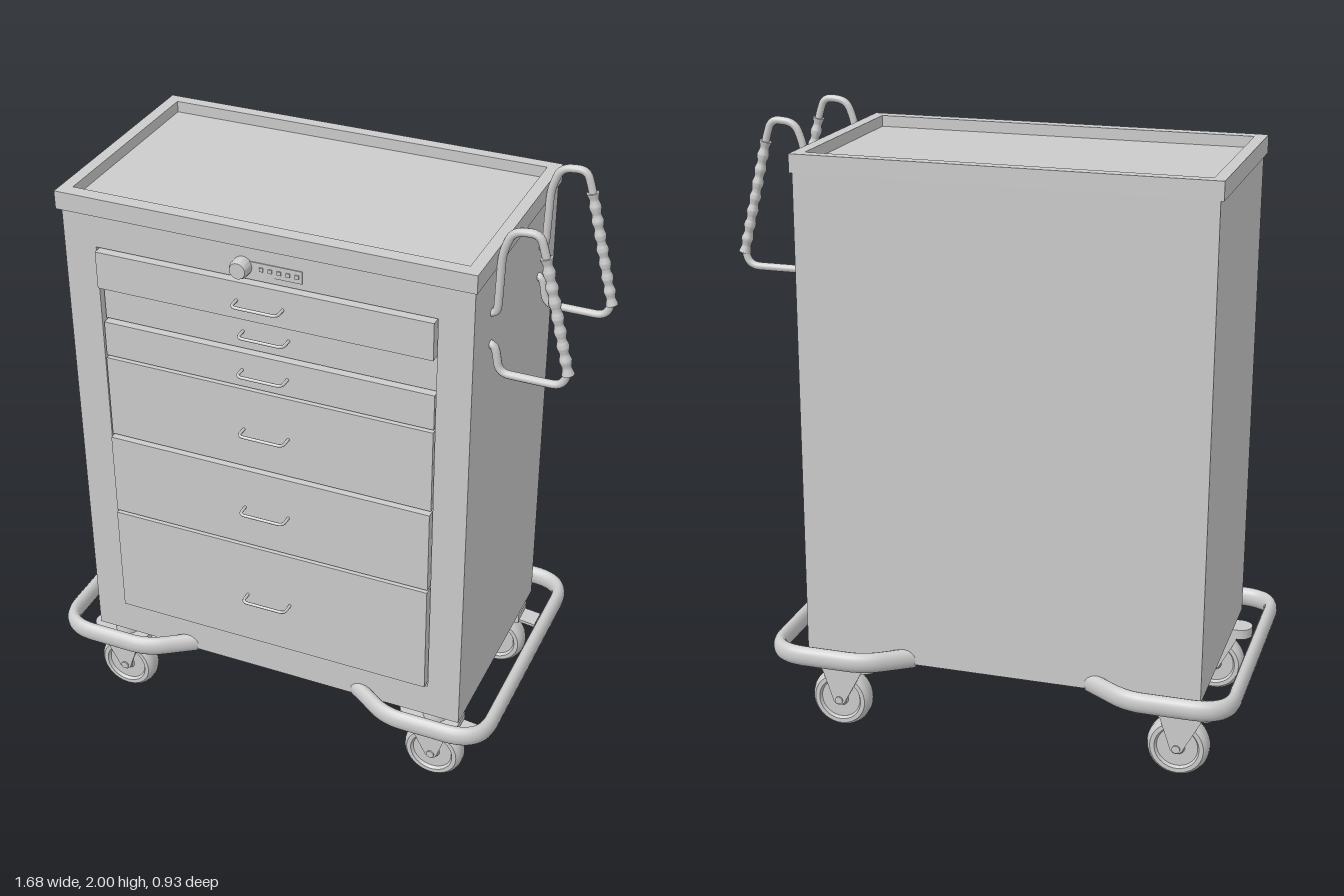
import * as THREE from 'three';
import { toCreasedNormals } from 'three/addons/utils/BufferGeometryUtils.js';

const grey = new THREE.MeshStandardMaterial({ color: 0xcccccc });
const V = (x, y, z) => new THREE.Vector3(x, y, z);

function add(parent, name, geometry, x = 0, y = 0, z = 0) {
  const mesh = new THREE.Mesh(geometry, grey);
  mesh.name = name;
  mesh.position.set(x, y, z);
  parent.add(mesh);
  return mesh;
}

function box(parent, name, x0, x1, y0, y1, z0, z1) {
  return add(parent, name, new THREE.BoxGeometry(x1 - x0, y1 - y0, z1 - z0),
    (x0 + x1) / 2, (y0 + y1) / 2, (z0 + z1) / 2);
}

// Polyline with rounded corners
function roundedPath(points, radius) {
  const path = new THREE.CurvePath();
  let last = points[0];
  for (let i = 1; i < points.length - 1; i++) {
    const p = points[i];
    const cut = (q) => p.clone().lerp(q, Math.min(0.48, radius / p.distanceTo(q)));
    const a = cut(points[i - 1]), b = cut(points[i + 1]);
    path.add(new THREE.LineCurve3(last, a));
    path.add(new THREE.QuadraticBezierCurve3(a, p, b));
    last = b;
  }
  path.add(new THREE.LineCurve3(last, points[points.length - 1]));
  return path;
}

// Round bar along a path, closed at both ends
function bar(parent, name, points, corner, segments, r, sides) {
  const group = new THREE.Group();
  group.name = name;
  const path = roundedPath(points, corner);
  add(group, name + 'Tube', new THREE.TubeGeometry(path, segments, r, sides));
  for (const t of [0, 1]) {
    const p = path.getPointAt(t);
    const dir = path.getTangentAt(t).multiplyScalar(t ? 1 : -1);
    const cap = add(group, name + 'End', new THREE.CircleGeometry(r, sides), p.x, p.y, p.z);
    cap.quaternion.setFromUnitVectors(V(0, 0, 1), dir);
  }
  parent.add(group);
  return group;
}

// Rectangle with a rectangular hole, extruded along z
function frame(x0, x1, y0, y1, hx0, hx1, hy0, hy1, depth) {
  const rect = (C, a, b, c, d) => {
    const s = new C();
    s.moveTo(a, c); s.lineTo(b, c); s.lineTo(b, d); s.lineTo(a, d); s.closePath();
    return s;
  };
  const shape = rect(THREE.Shape, x0, x1, y0, y1);
  shape.holes.push(rect(THREE.Path, hx0, hx1, hy0, hy1));
  return new THREE.ExtrudeGeometry(shape, { depth, bevelEnabled: false });
}

function lathe(profile, sides) {
  const pts = profile.map(([r, y]) => new THREE.Vector2(r, y));
  return toCreasedNormals(new THREE.LatheGeometry(pts, sides), 0.6);
}

// Swivel caster, centred on the wheel axle
function caster() {
  const g = new THREE.Group();
  g.name = 'caster';
  const wheel = lathe([[0, -0.03], [0.022, -0.03], [0.026, -0.024], [0.066, -0.024], [0.072, -0.034],
    [0.086, -0.034], [0.095, -0.025], [0.1, -0.01], [0.1, 0.01], [0.095, 0.025], [0.086, 0.034],
    [0.072, 0.034], [0.066, 0.024], [0.026, 0.024], [0.022, 0.03], [0, 0.03]], 40);
  add(g, 'wheel', wheel).rotation.x = Math.PI / 2;
  const axle = add(g, 'axle', new THREE.CylinderGeometry(0.013, 0.013, 0.094, 16));
  axle.rotation.x = Math.PI / 2;

  // Tapered fork cheeks either side of the wheel
  const cheek = new THREE.Shape();
  cheek.moveTo(-0.075, 0.135);
  cheek.lineTo(-0.075, 0.1);
  cheek.lineTo(-0.018, -0.008);
  cheek.quadraticCurveTo(0, -0.026, 0.018, -0.008);
  cheek.lineTo(0.055, 0.1);
  cheek.lineTo(0.085, 0.135);
  cheek.closePath();
  for (const z of [-0.042, 0.036]) {
    add(g, 'forkCheek', new THREE.ExtrudeGeometry(cheek, { depth: 0.006, bevelEnabled: false }), 0, 0, z);
  }

  // Crown with one rounded end, and the brake pedal on the other side
  const crown = new THREE.Shape();
  crown.moveTo(0.085, -0.042);
  crown.lineTo(0.085, 0.042);
  crown.lineTo(-0.08, 0.042);
  crown.absarc(-0.08, 0, 0.042, Math.PI / 2, Math.PI * 1.5, false);
  const crownGeo = new THREE.ExtrudeGeometry(crown, { depth: 0.034, bevelEnabled: false });
  crownGeo.rotateX(-Math.PI / 2);
  add(g, 'forkCrown', toCreasedNormals(crownGeo, 0.6), 0, 0.106, 0);
  const pedal = box(g, 'brakePedal', 0.05, 0.14, 0.106, 0.116, -0.034, 0.034);
  pedal.rotation.z = -0.12;
  add(g, 'swivel', new THREE.CylinderGeometry(0.036, 0.042, 0.04, 24), 0, 0.157, 0);
  return g;
}

// Hanging side handle with a rippled grip
function sideHandle() {
  const g = new THREE.Group();
  g.name = 'sideHandle';
  const top = V(0.735, 1.94, 0), bottom = V(0.825, 1.565, 0);
  bar(g, 'handleRod', [V(0.585, 1.715, 0), V(0.607, 1.72, 0), V(0.613, 1.91, 0), V(0.64, 1.983, 0),
    V(0.718, 1.99, 0), top, bottom, V(0.805, 1.522, 0), V(0.62, 1.522, 0), V(0.605, 1.61, 0),
    V(0.585, 1.612, 0)].slice(0, 11), 0.032, 120, 0.0125, 12);
  const length = top.distanceTo(bottom) - 0.02;
  const profile = [[0, 0]];
  for (let i = 0; i <= 56; i++) {
    profile.push([0.0165 + 0.0025 * Math.cos((i / 56) * Math.PI * 16), (i / 56) * length]);
  }
  profile.push([0, length]);
  const grip = add(g, 'handleGrip', lathe(profile, 16), bottom.x, bottom.y, 0);
  grip.quaternion.setFromUnitVectors(V(0, 1, 0), top.clone().sub(bottom).normalize());
  return g;
}

export function createModel() {
  const root = new THREE.Group();
  root.name = 'drawerCart';
  const cart = new THREE.Group();
  cart.name = 'cart';
  cart.rotation.x = 0.013; // slight forward lean
  root.add(cart);
  const cx = -0.06;

  // Cabinet: solid core with a framed opening for the drawers
  box(cart, 'cabinetBody', cx - 0.65, cx + 0.65, 0.283, 1.862, -0.37, 0.302);
  add(cart, 'cabinetFrontFrame', frame(cx - 0.65, cx + 0.65, 0.283, 1.862,
    cx - 0.543, cx + 0.543, 0.4, 1.748, 0.06), 0, 0, 0.302);

  // Tray top with raised rim
  box(cart, 'trayFloor', cx - 0.64, cx + 0.64, 1.862, 1.882, -0.35, 0.36);
  const rim = frame(cx - 0.66, cx + 0.66, -0.38, 0.371, cx - 0.622, cx + 0.622, -0.335, 0.332, 0.058);
  rim.rotateX(-Math.PI / 2);
  add(cart, 'trayRim', rim, 0, 1.86, 0);

  // Drawers: bottom, top, face depth, pull height
  const drawers = [
    [1.615, 1.745, 0.38, 1.68], [1.495, 1.615, 0.345, 1.557], [1.37, 1.495, 0.36, 1.432],
    [1.082, 1.37, 0.364, 1.222], [0.792, 1.082, 0.376, 0.937], [0.405, 0.792, 0.38, 0.593],
  ];
  for (const [y0, y1, z, pullY] of drawers) {
    box(cart, 'drawerFront', cx - 0.538, cx + 0.538, y0 + 0.004, y1 - 0.004, 0.3, z);
    const out = z + 0.042;
    bar(cart, 'drawerPull', [V(cx - 0.074, pullY, z - 0.005), V(cx - 0.074, pullY, out),
      V(cx + 0.074, pullY, out), V(cx + 0.074, pullY, z - 0.005)], 0.018, 40, 0.005, 8);
  }

  // Lock knob and keypad
  box(cart, 'keypadPlate', -0.12, 0.07, 1.768, 1.808, 0.355, 0.365);
  const knob = add(cart, 'lockKnob', lathe([[0, 0], [0.03, 0], [0.03, 0.03], [0.025, 0.042], [0, 0.042]], 28),
    -0.118, 1.789, 0.36);
  knob.rotation.x = Math.PI / 2;
  for (let i = 0; i < 5; i++) {
    const x = -0.058 + i * 0.028;
    box(cart, 'keypadButton', x - 0.006, x + 0.006, 1.783, 1.795, 0.36, 0.369);
  }

  // Oval bumper rails wrapping each end, casters and side handles
  for (const s of [-1, 1]) {
    const p = (x, z) => V(cx + s * x, 0, z);
    const rail = bar(cart, 'bumperRail', [p(0.29, -0.35), p(0.43, -0.443), p(0.69, -0.443), p(0.75, -0.39),
      p(0.75, 0.385), p(0.69, 0.438), p(0.43, 0.438), p(0.29, 0.345)], 0.06, 140, 0.0225, 16);
    rail.scale.y = 1.5;
    rail.position.y = 0.298;
    for (const z of [-0.31, 0.31]) {
      const c = caster();
      c.position.set(cx + s * 0.565 - 0.01, 0.106, z);
      cart.add(c);
    }
    const handle = sideHandle();
    handle.position.z = s * 0.216;
    cart.add(handle);
  }
  return root;
}
